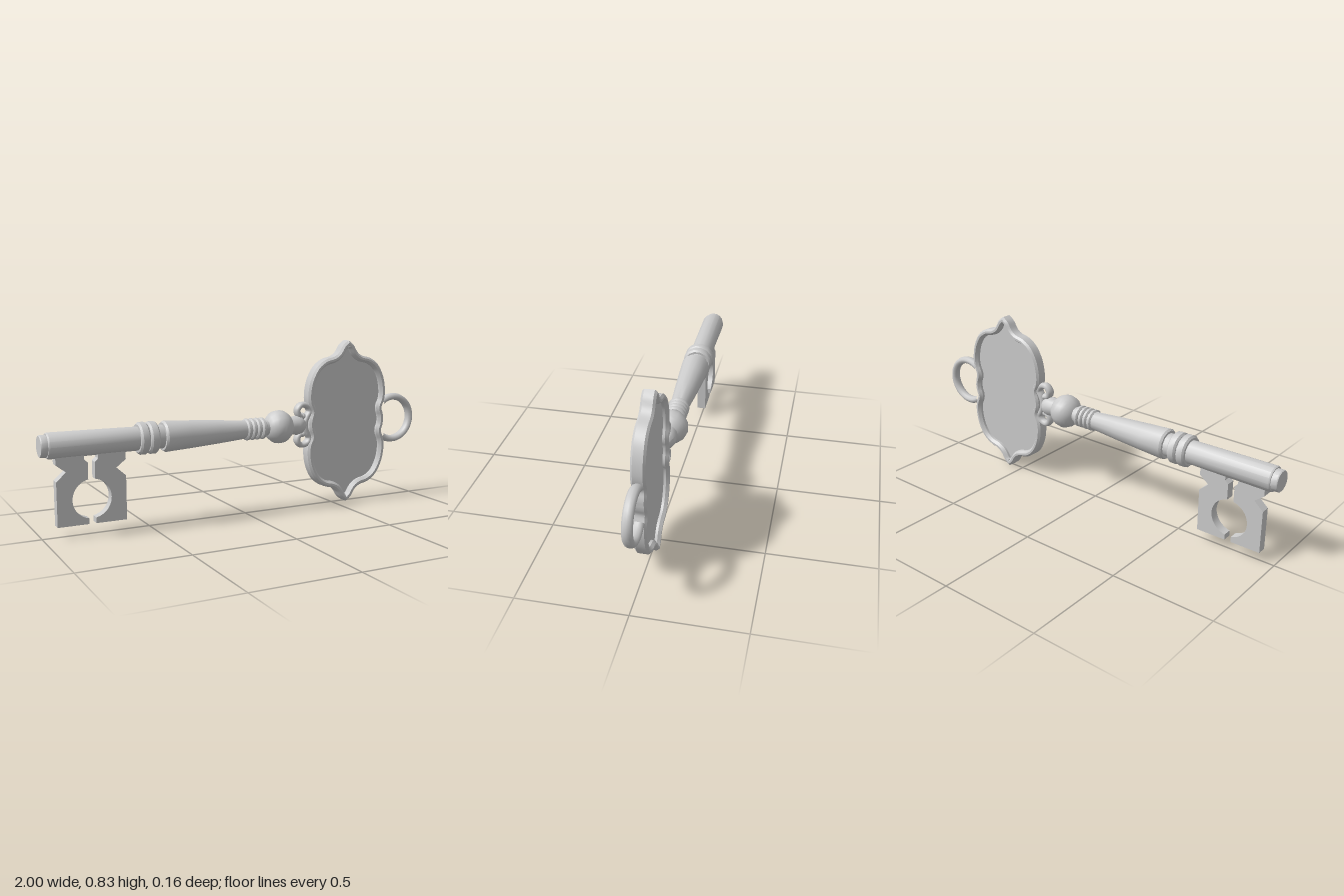
import * as THREE from 'three';
import { toCreasedNormals } from 'three/addons/utils/BufferGeometryUtils.js';

const AXIS_Y = 0.42;    // height of the shaft axis
const HEAD_X = 0.575;   // centre of the head
const v2 = (x, y) => new THREE.Vector2(x, y);

export function createModel() {
  const model = new THREE.Group();
  const grey = new THREE.MeshStandardMaterial({ color: 0xcccccc });
  const add = (name, geometry, x = 0, y = AXIS_Y) => {
    const mesh = new THREE.Mesh(geometry, grey);
    mesh.name = name;
    mesh.position.set(x, y, 0);
    model.add(mesh);
    return mesh;
  };

  // Turned parts: profile of [x along the shaft, radius]
  const turned = (name, profile) => {
    const g = new THREE.LatheGeometry(profile.map(([x, r]) => v2(r, x)), 14);
    g.rotateZ(-Math.PI / 2);
    add(name, toCreasedNormals(g, 0.65));
  };
  turned('shaftTip', [[-1, 0], [-1, 0.047], [-0.995, 0.05], [-0.965, 0.05], [-0.965, 0]]);
  turned('shaft', [[-0.97, 0], [-0.97, 0.055], [-0.963, 0.059], [-0.55, 0.055], [-0.42, 0.055], [-0.42, 0]]);
  for (const x of [-0.53, -0.483]) {
    turned('collar', [[-0.022, 0], [-0.022, 0.066], [-0.014, 0.075], [0.014, 0.075], [0.022, 0.066], [0.022, 0]]
      .map(([d, r]) => [x + d, r]));
  }
  turned('taperedGrip', [[-0.43, 0], [-0.43, 0.066], [-0.42, 0.073], [-0.3, 0.066], [-0.15, 0.056], [0, 0.044], [0.13, 0.038], [0.13, 0]]);
  for (let i = 0; i < 4; i++) {
    turned('neckRing', [[-0.012, 0], [-0.012, 0.045], [-0.006, 0.053], [0.006, 0.053], [0.012, 0.045], [0.012, 0]]
      .map(([d, r]) => [0.008 + i * 0.027 + d, r]));
  }
  const ball = new THREE.SphereGeometry(0.083, 14, 12);
  ball.rotateZ(-Math.PI / 2).scale(0.9, 1, 1);
  add('ball', ball, 0.185);
  turned('headSocket', [[0.2, 0], [0.23, 0.046], [0.26, 0.044], [0.285, 0.049], [0.31, 0.044], [0.33, 0.026], [0.34, 0]]);

  // Bit: two mirrored halves with a round opening between them
  const half = new THREE.Shape();
  half.moveTo(-0.016, 0.055);
  half.lineTo(-0.16, 0.055);
  half.lineTo(-0.16, 0.26);
  half.lineTo(-0.115, 0.3);
  half.lineTo(-0.16, 0.335);
  half.lineTo(-0.16, 0.385);
  half.lineTo(-0.032, 0.385);
  half.lineTo(-0.032, 0.35);
  half.lineTo(-0.016, 0.335);
  const gap = Math.asin(0.016 / 0.09);
  half.absarc(0, 0.17, 0.09, Math.PI / 2 + gap, Math.PI * 1.5 - gap, false);
  half.closePath();
  const bit = new THREE.Group();
  bit.name = 'bit';
  for (const turn of [0, Math.PI]) {
    const g = new THREE.ExtrudeGeometry(half, { depth: 0.044, bevelEnabled: false, curveSegments: 10 });
    g.translate(0, 0, -0.022);
    const mesh = new THREE.Mesh(toCreasedNormals(g, 0.6), grey);
    mesh.name = 'bitHalf';
    mesh.rotation.y = turn;
    bit.add(mesh);
  }
  bit.position.x = -0.775;
  model.add(bit);

  // Head outline: one quadrant from the side to the tip, mirrored to a closed loop
  const quadrant = new THREE.SplineCurve([
    [0.226, 0], [0.222, 0.03], [0.213, 0.062], [0.228, 0.1], [0.233, 0.15], [0.22, 0.22], [0.185, 0.285],
    [0.135, 0.322], [0.085, 0.335], [0.055, 0.355], [0.03, 0.393], [0, 0.415],
  ].map(([x, y]) => v2(x, y))).getPoints(33);
  const upper = [...quadrant, ...quadrant.slice(0, -1).reverse().map(p => v2(-p.x, p.y))];
  const outline = [...upper, ...upper.slice(1, -1).reverse().map(p => v2(p.x, -p.y))];
  const n = outline.length;
  const inset = d => outline.map((p, i) => {
    const t = outline[(i + 1) % n].clone().sub(outline[(i + n - 1) % n]).normalize();
    const x = p.x - t.y * d;
    return v2(x * p.x < 0 ? 0 : x, p.y + t.x * d);
  });

  // Rim: chamfered section of [inset, z] swept around the outline
  const section = [[0, -0.022], [0, 0.022], [0.01, 0.032], [0.02, 0.032], [0.031, 0.018],
    [0.031, -0.018], [0.02, -0.032], [0.01, -0.032]];
  const m = section.length;
  const position = [], index = [];
  section.forEach(([d, z], j) => {
    inset(d).forEach((p, i) => {
      position.push(p.x, p.y, z);
      const i2 = (i + 1) % n, j2 = (j + 1) % m;
      const a = j * n + i, b = j * n + i2, c = j2 * n + i2, e = j2 * n + i;
      index.push(a, b, c, a, c, e);
    });
  });
  const rim = new THREE.BufferGeometry();
  rim.setAttribute('position', new THREE.Float32BufferAttribute(position, 3));
  rim.setIndex(index);
  add('headRim', toCreasedNormals(rim, 0.6), HEAD_X);

  // Recessed plate inside the rim
  const plate = new THREE.ExtrudeGeometry(new THREE.Shape(inset(0.02)), { depth: 0.012, bevelEnabled: false });
  plate.translate(0, 0, -0.006);
  add('headPlate', plate, HEAD_X);

  // Paired scroll joining the socket to the head
  const curl = [[0.318, 0.045], [0.298, 0.052], [0.291, 0.078], [0.312, 0.101], [0.345, 0.094],
    [0.36, 0.068], [0.345, 0.04], [0.335, 0.015]];
  const path = [...curl, ...curl.slice().reverse().map(([x, y]) => [x, -y])];
  const scroll = new THREE.TubeGeometry(
    new THREE.CatmullRomCurve3(path.map(([x, y]) => new THREE.Vector3(x, y, 0))), 64, 0.015, 8);
  scroll.scale(1, 1, 1.6);
  add('scroll', scroll);
  for (const s of [1, -1]) {
    const end = new THREE.SphereGeometry(0.017, 10, 8);
    end.scale(1, 1, 1.5);
    add('scrollEnd', end, 0.318, AXIS_Y + s * 0.045);
  }

  // Hanging ring, open where it meets the rim
  const sweep = 4.45;
  const ring = new THREE.TorusGeometry(0.112, 0.018, 10, 28, sweep);
  ring.rotateZ(-sweep / 2).scale(1, 1, 1.33);
  add('hangingRing', ring, 0.87);

  return model;
}
